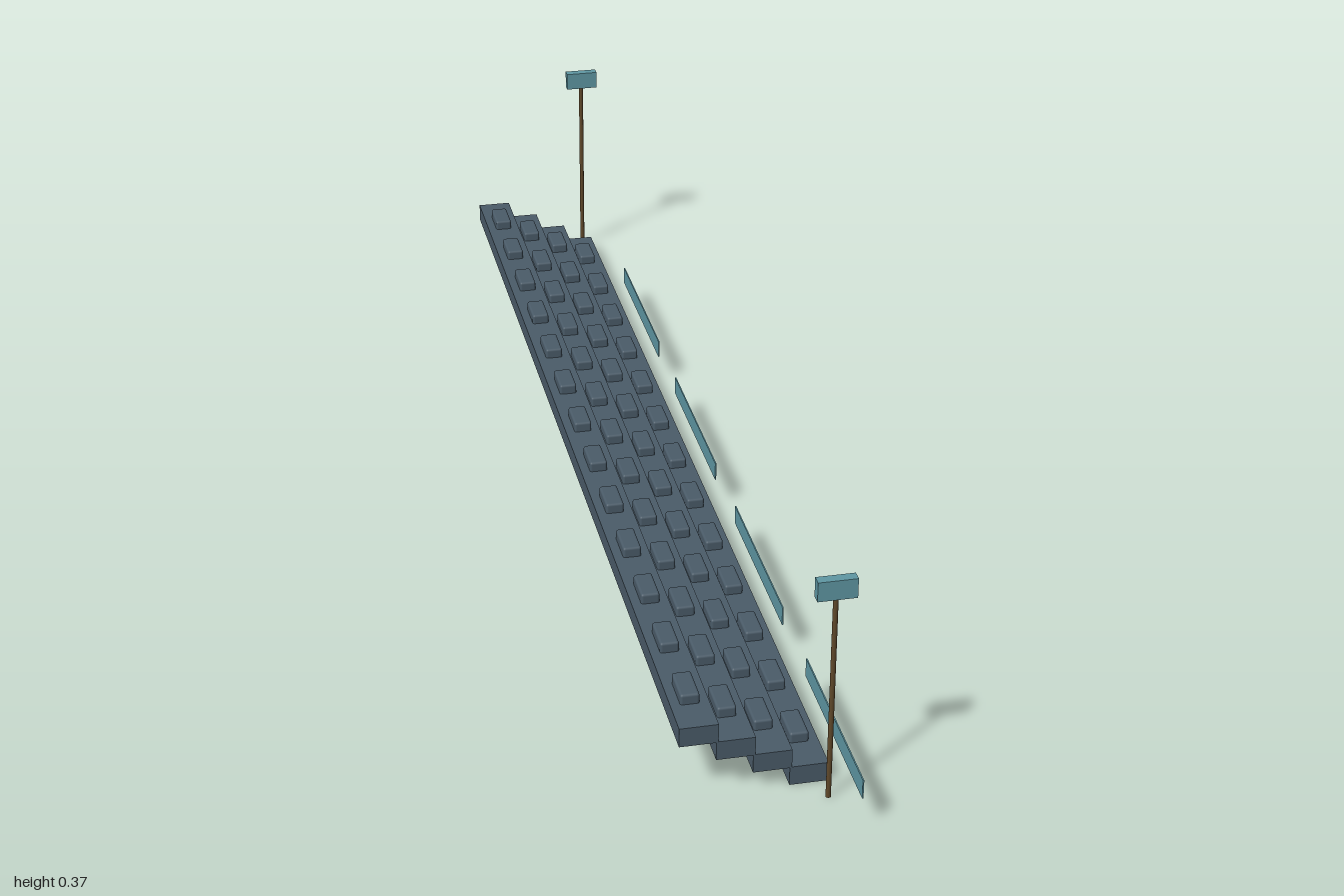
import * as THREE from 'three';
import { RoundedBoxGeometry } from 'three/addons/geometries/RoundedBoxGeometry.js';

const mat = (name, color) => Object.assign(new THREE.MeshStandardMaterial({ color }), { name });

export function createModel() {
  const model = new THREE.Group();
  model.name = 'grandstand';

  const slate = mat('slate', 0x4a5b68);
  const teal = mat('teal', 0x5f97a3);
  const bronze = mat('bronze', 0x5f482a);

  const add = (name, geometry, material, x, y, z) => {
    const mesh = new THREE.Mesh(geometry, material);
    mesh.name = name;
    mesh.position.set(x, y, z);
    model.add(mesh);
  };

  const midZ = -0.037; // middle of the stand along its length

  // Four stepped tiers, each with a row of thirteen seats
  const tierGeo = new THREE.BoxGeometry(0.0585, 0.0315, 1.834);
  const seatGeo = new RoundedBoxGeometry(0.029, 0.022, 0.062, 2, 0.004);
  for (let t = 0; t < 4; t++) {
    const x = 0.073 - t * 0.0552;
    const y = 0.0158 + t * 0.0302;
    add('tier', tierGeo, slate, x, y, midZ);
    for (let s = -6; s <= 6; s++) {
      add('seat', seatGeo, slate, x, y + 0.0212, midZ + s * 0.138);
    }
  }

  // Floodlight poles with lamp heads at both ends
  const poleGeo = new THREE.CylinderGeometry(0.004, 0.004, 0.345, 12);
  const lampGeo = new THREE.BoxGeometry(0.0585, 0.0315, 0.016);
  for (const side of [-1, 1]) {
    const z = midZ + side * 0.955;
    add('lightPole', poleGeo, bronze, 0.092, 0.1725, z);
    add('lampHead', lampGeo, teal, 0.0925, 0.357, z);
  }

  // Thin boards along the front of the stand
  const boardGeo = new THREE.BoxGeometry(0.002, 0.0315, 0.316);
  for (let i = 0; i < 4; i++) {
    add('board', boardGeo, teal, 0.119, 0.067, 0.842 - i * 0.46);
  }

  return model;
}
